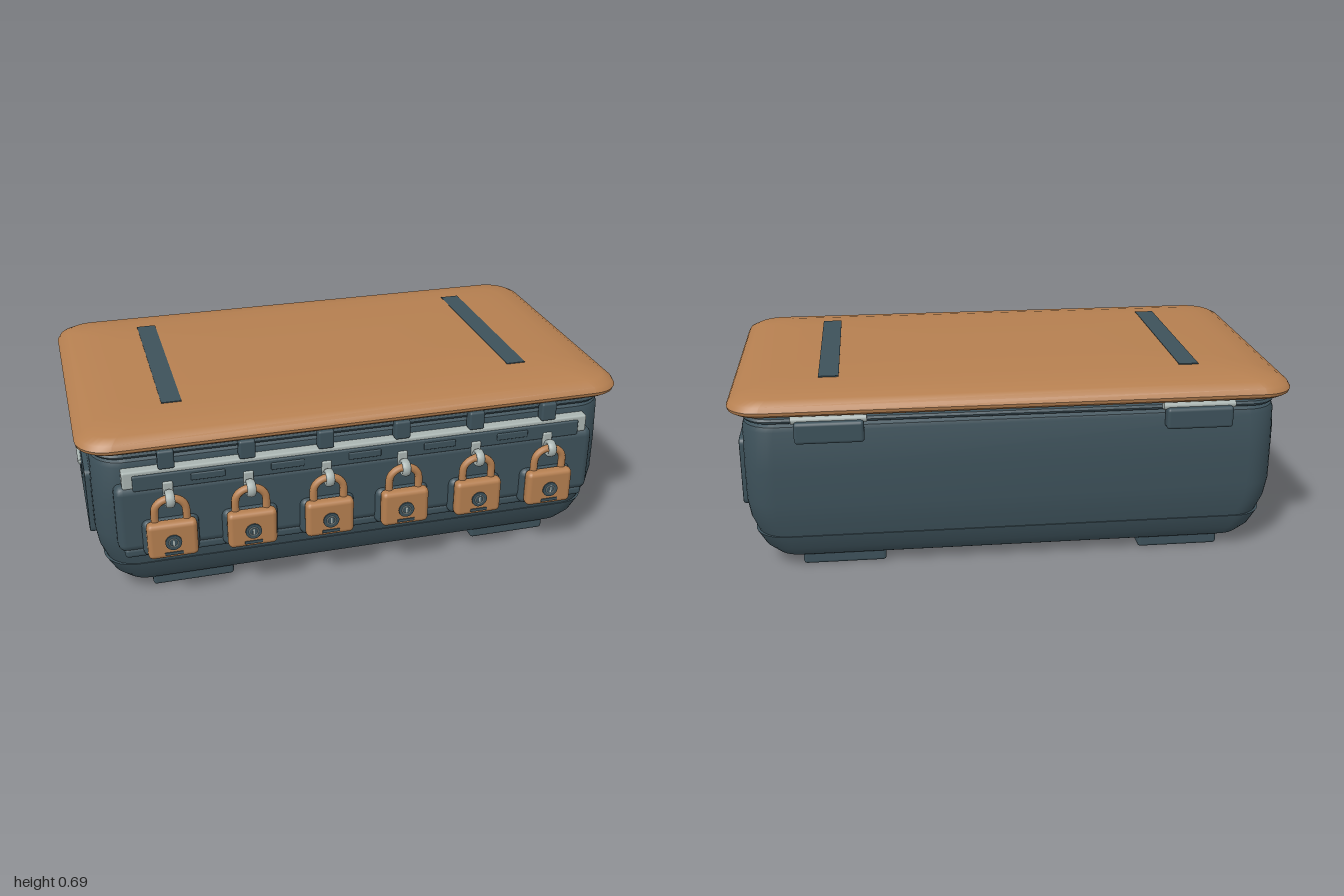
import * as THREE from 'three';
import { toCreasedNormals } from 'three/addons/utils/BufferGeometryUtils.js';
import { RoundedBoxGeometry } from 'three/addons/geometries/RoundedBoxGeometry.js';

const ZC = -0.035; // body and lid centre in z

export function createModel() {
  const mat = (name, color) => {
    const m = new THREE.MeshStandardMaterial({ color });
    m.name = name;
    return m;
  };
  const tan = mat('tan', 0xb57f50);
  const slate = mat('slate', 0x3d515a);
  const silver = mat('silver', 0xa9b4b1);

  const root = new THREE.Group();
  root.name = 'lockedCase';

  const add = (name, geo, material, x = 0, y = 0, z = 0, parent = root) => {
    const m = new THREE.Mesh(geo, material);
    m.name = name;
    m.position.set(x, y, z);
    parent.add(m);
    return m;
  };
  // rounded box given by its extents
  const box = (name, material, x0, x1, y0, y1, z0, z1, r = 0.01, parent = root) => {
    const s = [x1 - x0, y1 - y0, z1 - z0];
    const geo = r > 0
      ? new RoundedBoxGeometry(...s, 2, Math.min(r, Math.min(...s) * 0.49))
      : new THREE.BoxGeometry(...s);
    return add(name, geo, material, (x0 + x1) / 2, (y0 + y1) / 2, (z0 + z1) / 2, parent);
  };

  // stack of rounded rectangles, rings are [halfX, halfZ, y, cornerRadius]
  const loft = (rings, crease = 0.6) => {
    const pos = [], idx = [], steps = 8, n = 4 * (steps + 1);
    for (const [hx, hz, y, r] of rings) {
      for (let c = 0; c < 4; c++) {
        const sx = c === 0 || c === 3 ? 1 : -1, sz = c < 2 ? 1 : -1;
        for (let k = 0; k <= steps; k++) {
          const a = (c + k / steps) * Math.PI / 2;
          pos.push(sx * (hx - r) + Math.cos(a) * r, y, sz * (hz - r) + Math.sin(a) * r);
        }
      }
    }
    for (let j = 0; j < rings.length - 1; j++) {
      for (let i = 0; i < n; i++) {
        const a = j * n + i, b = j * n + (i + 1) % n;
        idx.push(a, a + n, b, b, a + n, b + n);
      }
    }
    const last = (rings.length - 1) * n, c0 = rings.length * n;
    pos.push(0, rings[0][2], 0, 0, rings.at(-1)[2], 0);
    for (let i = 0; i < n; i++) {
      const k = (i + 1) % n;
      idx.push(c0, i, k, c0 + 1, last + k, last + i);
    }
    const g = new THREE.BufferGeometry();
    g.setAttribute('position', new THREE.Float32BufferAttribute(pos, 3));
    g.setIndex(idx);
    return toCreasedNormals(g, crease);
  };

  // tub: lower tray, main shell, rim, gasket
  add('lowerTray', loft([
    [0.85, 0.455, 0.043, 0.08], [0.87, 0.468, 0.05, 0.09], [0.905, 0.492, 0.085, 0.1],
    [0.935, 0.508, 0.14, 0.11], [0.92, 0.5, 0.143, 0.11],
  ]), slate, 0, 0, ZC);
  add('shell', loft([
    [0.925, 0.505, 0.138, 0.11], [0.948, 0.518, 0.2, 0.11], [0.958, 0.525, 0.27, 0.11],
    [0.958, 0.525, 0.4, 0.11], [0.955, 0.522, 0.545, 0.11], [0.95, 0.517, 0.562, 0.11],
    [0.935, 0.503, 0.572, 0.1],
  ]), slate, 0, 0, ZC);
  add('rim', loft([
    [0.935, 0.503, 0.57, 0.1], [0.948, 0.516, 0.575, 0.1], [0.952, 0.52, 0.583, 0.1],
    [0.948, 0.516, 0.592, 0.1], [0.93, 0.5, 0.597, 0.1],
  ]), slate, 0, 0, ZC);
  add('gasket', loft([[0.89, 0.45, 0.59, 0.08], [0.89, 0.45, 0.606, 0.08]]), silver, 0, 0, ZC);

  // domed lid with two inlaid strips
  add('lidLiner', loft([[0.93, 0.5, 0.602, 0.1], [0.955, 0.522, 0.614, 0.1]]), slate, 0, 0, ZC);
  add('lid', loft([
    [0.945, 0.512, 0.608, 0.1], [0.985, 0.55, 0.611, 0.11], [0.997, 0.562, 0.62, 0.115],
    [1, 0.565, 0.632, 0.115], [0.99, 0.555, 0.65, 0.11], [0.96, 0.527, 0.667, 0.1],
    [0.88, 0.445, 0.682, 0.09], [0.77, 0.34, 0.69, 0.08],
  ]), tan, 0, 0, ZC);

  // parts repeated on each side
  for (const s of [-1, 1]) {
    const side = s > 0 ? 'left' : 'right';
    box(side + 'LidStrip', slate, s * 0.65 - 0.036, s * 0.65 + 0.036, 0.684, 0.692, -0.4, 0.32, 0);
    box(side + 'Foot', slate, s * 0.62 - 0.15, s * 0.62 + 0.15, 0.003, 0.06, -0.49, 0.42, 0.012);

    // side panel with a pocket for the handle
    const panel = new THREE.Shape();
    const w = 0.387, h = 0.122, r = 0.02;
    panel.moveTo(-w + r, -h);
    panel.lineTo(w - r, -h).quadraticCurveTo(w, -h, w, -h + r);
    panel.lineTo(w, h - r).quadraticCurveTo(w, h, w - r, h);
    panel.lineTo(-w + r, h).quadraticCurveTo(-w, h, -w, h - r);
    panel.lineTo(-w, -h + r).quadraticCurveTo(-w, -h, -w + r, -h);
    const pocket = new THREE.Path();
    pocket.moveTo(-0.165, -0.035);
    pocket.lineTo(-0.165, 0.035).lineTo(0.165, 0.035).lineTo(0.165, -0.035).closePath();
    panel.holes.push(pocket);
    const pg = new THREE.ExtrudeGeometry(panel, {
      depth: 0.045, bevelEnabled: true, bevelThickness: 0.006, bevelSize: 0.006, bevelSegments: 2,
    });
    const group = new THREE.Group();
    group.name = side + 'HandlePanel';
    group.position.set(s * 0.925, 0.35, ZC);
    group.rotation.y = s * Math.PI / 2;
    root.add(group);
    add('panel', pg, slate, 0, 0, 0, group);
    const bar = add('handleBar', new THREE.CylinderGeometry(0.006, 0.009, 0.31, 12), silver, 0, 0.041, 0.054, group);
    bar.rotation.z = -s * Math.PI / 2;
    for (const e of [-1, 1]) {
      const post = add('handlePost', new THREE.CylinderGeometry(0.007, 0.007, 0.03, 10), silver, e * 0.15, 0.041, 0.044, group);
      post.rotation.x = Math.PI / 2;
    }

    // rear hinge: leaf plate and pin
    box(side + 'HingeLeaf', slate, s * 0.65 - 0.12, s * 0.65 + 0.12, 0.512, 0.59, -0.598, -0.55, 0.012);
    const pin = add(side + 'HingePin', new THREE.CylinderGeometry(0.014, 0.014, 0.26, 12), silver, s * 0.65, 0.592, -0.565);
    pin.rotation.z = Math.PI / 2;
  }

  // front panel, lower ledge, silver rail and its dark insert
  box('frontPanel', slate, -0.89, 0.89, 0.225, 0.485, 0.45, 0.53, 0.03);
  box('frontLedge', slate, -0.87, 0.87, 0.2, 0.24, 0.45, 0.525, 0.015);
  box('rail', silver, -0.86, 0.86, 0.475, 0.542, 0.47, 0.522, 0.008);
  box('railInsert', slate, -0.825, 0.825, 0.468, 0.527, 0.5, 0.53, 0.006);

  // padlock built around the origin of its own column
  const shacklePath = [[-0.055, 0.34], [-0.055, 0.395]];
  for (let k = 1; k < 8; k++) {
    const a = Math.PI * (1 - k / 8);
    shacklePath.push([Math.cos(a) * 0.055, 0.395 + Math.sin(a) * 0.047]);
  }
  shacklePath.push([0.055, 0.395], [0.055, 0.34]);
  const shackleCurve = new THREE.CatmullRomCurve3(shacklePath.map(([x, y]) => new THREE.Vector3(x, y, 0.555)));
  const shackleGeo = new THREE.TubeGeometry(shackleCurve, 32, 0.014, 10);

  for (let i = 0; i < 6; i++) {
    const lock = new THREE.Group();
    lock.name = 'lockStation' + (i + 1);
    lock.position.x = -0.706 + i * 0.2815;
    root.add(lock);
    const part = (name, m, hx, y0, y1, z0, z1, r) => box(name, m, -hx, hx, y0, y1, z0, z1, r, lock);

    // lid tab and hasp loop
    part('lidTab', slate, 0.029, 0.542, 0.612, 0.49, 0.531, 0.008);
    part('haspPlate', silver, 0.018, 0.44, 0.495, 0.515, 0.537, 0.006);
    const ring = add('haspRing', new THREE.TorusGeometry(0.024, 0.009, 8, 20), silver, 0, 0.445, 0.562, lock);
    ring.rotation.y = Math.PI / 2;
    ring.scale.z = 1.8;

    // padlock
    part('lockBacking', slate, 0.1, 0.21, 0.355, 0.5, 0.553, 0.025);
    part('lockBody', tan, 0.088, 0.222, 0.36, 0.545, 0.592, 0.018);
    add('shackle', shackleGeo, tan, 0, 0, 0, lock);
    const disc = add('keyDisc', new THREE.CylinderGeometry(0.029, 0.029, 0.01, 24), slate, 0, 0.288, 0.592, lock);
    disc.rotation.x = Math.PI / 2;
    add('keyRing', new THREE.TorusGeometry(0.016, 0.002, 6, 20), silver, 0, 0.288, 0.597, lock);
    part('keySlot', silver, 0.003, 0.277, 0.299, 0.594, 0.599, 0);
    part('lockSlot', slate, 0.032, 0.238, 0.249, 0.587, 0.595, 0);
  }

  // small dark clips on the rail between the locks
  for (let i = 0; i < 5; i++) {
    const x = -0.565 + i * 0.2815;
    box('railClip' + (i + 1), slate, x - 0.06, x + 0.06, 0.488, 0.515, 0.52, 0.535, 0.004);
  }
  return root;
}
